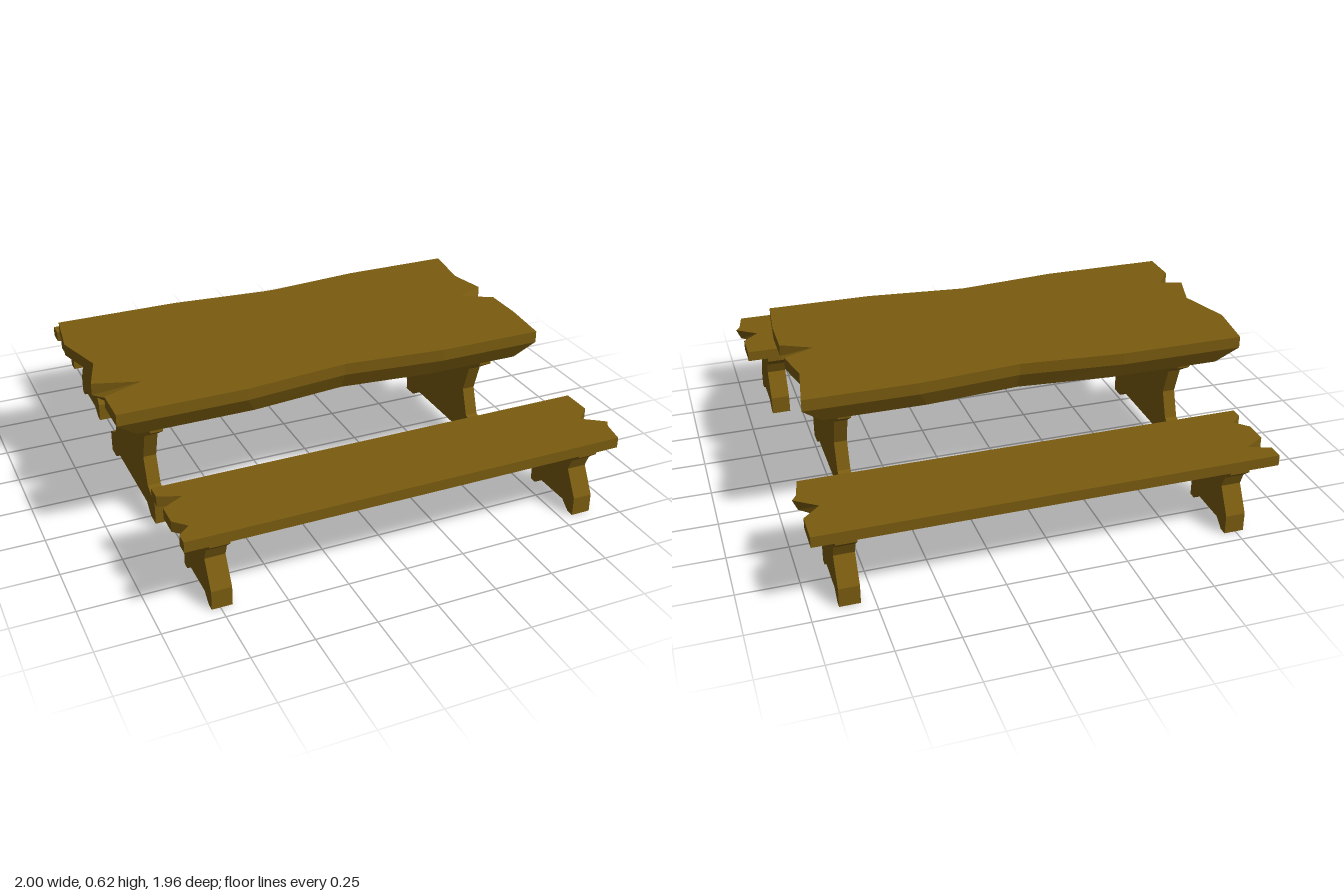
import * as THREE from 'three';

const wood = new THREE.MeshStandardMaterial({ color: 0x7a5c10, flatShading: true, roughness: 0.9 });

// Closed solid from stacked rings of [x, y, z], top ring first, counter-clockwise from above
function loft(rings) {
  const pos = [];
  const tri = (a, b, c) => pos.push(...a, ...b, ...c);
  for (let r = 0; r < rings.length - 1; r++) {
    const up = rings[r], low = rings[r + 1], n = up.length;
    for (let i = 0; i < n; i++) {
      const j = (i + 1) % n;
      tri(low[i], low[j], up[j]);
      tri(low[i], up[j], up[i]);
    }
  }
  const cap = (ring, facingUp) => {
    const flat = ring.map(p => new THREE.Vector2(p[0], -p[2]));
    for (const [a, b, c] of THREE.ShapeUtils.triangulateShape(flat, [])) {
      const ccw = THREE.ShapeUtils.area([flat[a], flat[b], flat[c]]) > 0;
      if (ccw === facingUp) tri(ring[a], ring[b], ring[c]);
      else tri(ring[a], ring[c], ring[b]);
    }
  };
  cap(rings[0], true);
  cap(rings[rings.length - 1], false);
  const geo = new THREE.BufferGeometry();
  geo.setAttribute('position', new THREE.Float32BufferAttribute(pos, 3));
  geo.computeVertexNormals();
  return geo;
}

// Trestle board: half profile [z, y] mirrored, extruded along x
function trestle(half, thickness) {
  const pts = [...half, ...half.map(([z, y]) => [-z, y]).reverse()];
  const shape = new THREE.Shape(pts.map(p => new THREE.Vector2(...p)));
  return new THREE.ExtrudeGeometry(shape, { depth: thickness, bevelEnabled: false })
    .translate(0, 0, -thickness / 2)
    .rotateY(-Math.PI / 2);
}

function add(parent, name, geo, x = 0, z = 0) {
  const mesh = new THREE.Mesh(geo, wood);
  mesh.name = name;
  mesh.position.set(x, 0, z);
  parent.add(mesh);
}

// Table top outline [x, z, notch x at mid height, notch x at underside]
const topOutline = [
  [-0.97, -0.445], [-0.44, -0.445], [0, -0.405], [0.43, -0.445], [0.9, -0.445],
  [0.865, -0.22], [0.9, -0.06], [0.77, 0, 0.855, 0.78], [0.9, 0.065], [0.9, 0.24],
  [0.88, 0.455], [0.43, 0.455], [0, 0.41], [-0.44, 0.455], [-0.97, 0.455],
  [-0.97, 0.295], [-0.8, 0.23, -0.87, -0.85], [-0.99, 0.17], [-0.935, 0], [-1, -0.22],
].reverse();

// Bench plank outline [x, z] about its own centre line
const plankOutline = [
  [-0.89, -0.194], [0.98, -0.194], [0.98, -0.065], [0.91, 0], [1, 0.065], [0.98, 0.095],
  [0.96, 0.194], [-0.89, 0.194], [-0.89, 0.145], [-0.84, 0.1], [-0.89, 0.05],
  [-0.89, -0.045], [-0.8, -0.096], [-0.89, -0.13],
].reverse();

const tableLegHalf = [
  [0.21, 0.055], [0.26, 0.015], [0.325, 0.015], [0.325, 0.11], [0.24, 0.15],
  [0.2, 0.265], [0.24, 0.385], [0.325, 0.44], [0.325, 0.5],
];
const benchLegHalf = [
  [0.08, 0.035], [0.125, 0], [0.157, 0], [0.157, 0.08], [0.095, 0.19],
  [0.115, 0.24], [0.157, 0.275], [0.157, 0.31],
];

export function createModel() {
  const model = new THREE.Group();
  model.name = 'picnicTable';

  // Table: thick slab with a chamfered underside and split ends
  const table = new THREE.Group();
  table.name = 'table';
  add(table, 'tableTop', loft([
    topOutline.map(([x, z]) => [x, 0.62, z]),
    topOutline.map(([x, z, mid]) => (mid ? [mid, 0.54, z] : [x, 0.57, z])),
    topOutline.map(([x, z, mid, low]) => [low ?? x * 0.91, 0.5, z * 0.92]),
  ]));
  const tableLeg = trestle(tableLegHalf, 0.055);
  add(table, 'tableLegRight', tableLeg, -0.783, 0.01);
  add(table, 'tableLegLeft', tableLeg, 0.713, 0.01);
  model.add(table);

  // Two identical benches
  const plank = loft([
    plankOutline.map(([x, z]) => [x, 0.355, z]),
    plankOutline.map(([x, z]) => [Math.min(x, 0.98), 0.31, z]),
  ]);
  const benchLeg = trestle(benchLegHalf, 0.083);
  for (const [name, z] of [['frontBench', 0.783], ['backBench', -0.785]]) {
    const bench = new THREE.Group();
    bench.name = name;
    bench.position.z = z;
    add(bench, 'benchSeat', plank);
    add(bench, 'benchLegRight', benchLeg, -0.743);
    add(bench, 'benchLegLeft', benchLeg, 0.846);
    model.add(bench);
  }
  return model;
}
